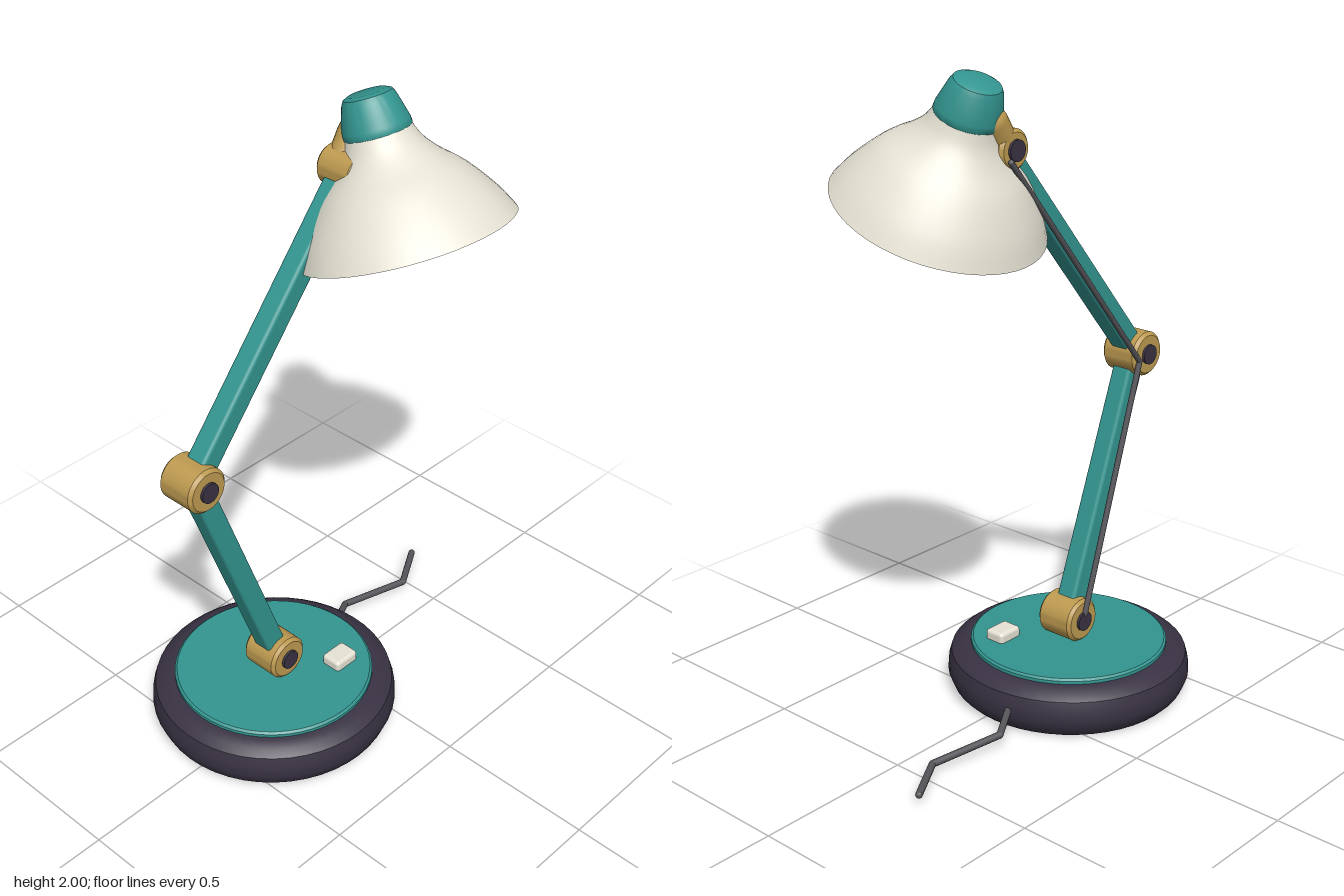
import * as THREE from 'three';
import { toCreasedNormals } from 'three/addons/utils/BufferGeometryUtils.js';
import { RoundedBoxGeometry } from 'three/addons/geometries/RoundedBoxGeometry.js';

const mat = (color) => new THREE.MeshStandardMaterial({ color });
const V = (x, y, z) => new THREE.Vector3(x, y, z);

export function createModel() {
  const lamp = new THREE.Group();
  const teal = mat(0x339590), brass = mat(0xbd9a50), dark = mat(0x393243);
  const cream = mat(0xe6e2d4), wireGrey = mat(0x55555a);

  const add = (name, geometry, material, parent = lamp) => {
    const mesh = new THREE.Mesh(geometry, material);
    mesh.name = name;
    parent.add(mesh);
    return mesh;
  };
  const lathe = (points, crease = 0.6) => toCreasedNormals(
    new THREE.LatheGeometry(points.map(([r, y]) => new THREE.Vector2(r, y)), 48), crease);
  // Turn a mesh built along y so it runs from a to b
  const span = (mesh, a, b) => {
    mesh.position.copy(a).lerp(b, 0.5);
    mesh.quaternion.setFromUnitVectors(V(0, 1, 0), b.clone().sub(a).normalize());
  };
  // Round wire through points with tight bends
  const wire = (name, points, radius) => {
    const path = new THREE.CurvePath();
    for (let i = 1; i < points.length; i++) path.add(new THREE.LineCurve3(points[i - 1], points[i]));
    points.forEach((p, i) => {
      if (i === 0) return;
      const a = points[i - 1];
      const tube = add(name, new THREE.CylinderGeometry(radius, radius, a.distanceTo(p), 10), wireGrey);
      span(tube, a, p);
      add(name + 'Bend', new THREE.SphereGeometry(radius, 10, 8), wireGrey).position.copy(p);
    });
  };

  // Base with its coloured top plate
  const base = new THREE.Group();
  base.name = 'base';
  base.position.set(-0.235, 0, -0.035);
  lamp.add(base);
  add('baseBody', lathe([[0, 0], [0.35, 0], [0.367, 0.017], [0.383, 0.055], [0.381, 0.09],
    [0.372, 0.122], [0.35, 0.14], [0.322, 0.15], [0, 0.15]]), dark, base);
  add('topPlate', lathe([[0.31, 0.145], [0.31, 0.16], [0.303, 0.166], [0, 0.166]]), teal, base);

  // Rocker switch
  add('switch', new RoundedBoxGeometry(0.09, 0.04, 0.07, 3, 0.012), cream).position.set(-0.08, 0.178, 0.105);

  // Joints: brass barrels with a dark pin through each
  const foot = V(-0.235, 0.23, -0.03), elbow = V(-0.535, 1.04, -0.03), head = V(0.085, 1.78, -0.03);
  const joint = (name, at, r, half) => {
    const g = new THREE.Group();
    g.name = name;
    g.position.copy(at);
    g.rotation.x = Math.PI / 2;
    lamp.add(g);
    const b = 0.01;
    add('barrel', lathe([[0, -half], [r - b, -half], [r, -half + b], [r, half - b], [r - b, half], [0, half]]), brass, g);
    add('pin', new THREE.CylinderGeometry(0.031, 0.031, half * 2 + 0.018, 24), dark, g);
  };
  joint('footJoint', foot, 0.07, 0.065);
  joint('elbowJoint', elbow, 0.07, 0.065);
  joint('headJoint', head, 0.06, 0.065);

  // Square arms
  for (const [name, a, b] of [['lowerArm', foot, elbow], ['upperArm', elbow, head]]) {
    const arm = add(name, new RoundedBoxGeometry(0.07, a.distanceTo(b), 0.07, 3, 0.012), teal);
    arm.position.copy(a).lerp(b, 0.5);
    arm.rotation.z = Math.atan2(a.x - b.x, b.y - a.y);
  }

  // Wire behind the arms, and the mains cord
  wire('armWire', [V(-0.235, 0.25, -0.1), V(-0.485, 1.03, -0.1), V(0.11, 1.75, -0.1)], 0.009);
  wire('powerCord', [V(0.1, 0.08, -0.09), V(0.23, 0.047, -0.162), V(0.465, 0.032, -0.11), V(0.607, 0.03, -0.195)], 0.011);

  // Neck from the head joint to the shade cap
  const n1 = V(0.09, 1.79, -0.045), n2 = V(0.14, 1.86, -0.05);
  span(add('neck', new THREE.CapsuleGeometry(0.05, n1.distanceTo(n2), 6, 20), brass), n1, n2);

  // Tilted shade, cap and bulb share one axis; the rim lies at local y = 0
  const shade = new THREE.Group();
  shade.name = 'shadeHead';
  shade.position.set(0.17, 1.59, 0.12);
  shade.rotation.x = -0.382;
  lamp.add(shade);
  const bell = new THREE.SplineCurve([[0.32, 0], [0.28, 0.072], [0.216, 0.157], [0.155, 0.215],
    [0.118, 0.26], [0.098, 0.305], [0.09, 0.335]].map(([r, y]) => new THREE.Vector2(r, y)))
    .getPoints(24).map((p) => [p.x, p.y]);
  const inner = bell.map(([r, y]) => [r - 0.012, y - 0.003]).reverse();
  add('shade', lathe([...bell, [0, 0.335], [0, 0.332], ...inner, bell[0]]), cream, shade);
  add('cap', lathe([[0, 0.3], [0.096, 0.3], [0.1, 0.308], [0.098, 0.325], [0.078, 0.395],
    [0.07, 0.41], [0.055, 0.417], [0, 0.418]]), teal, shade);
  add('bulb', new THREE.SphereGeometry(0.105, 32, 20), cream, shade).position.y = 0.12;
  add('bulbSocket', new THREE.CylinderGeometry(0.05, 0.05, 0.14, 24), cream, shade).position.y = 0.26;

  return lamp;
}
